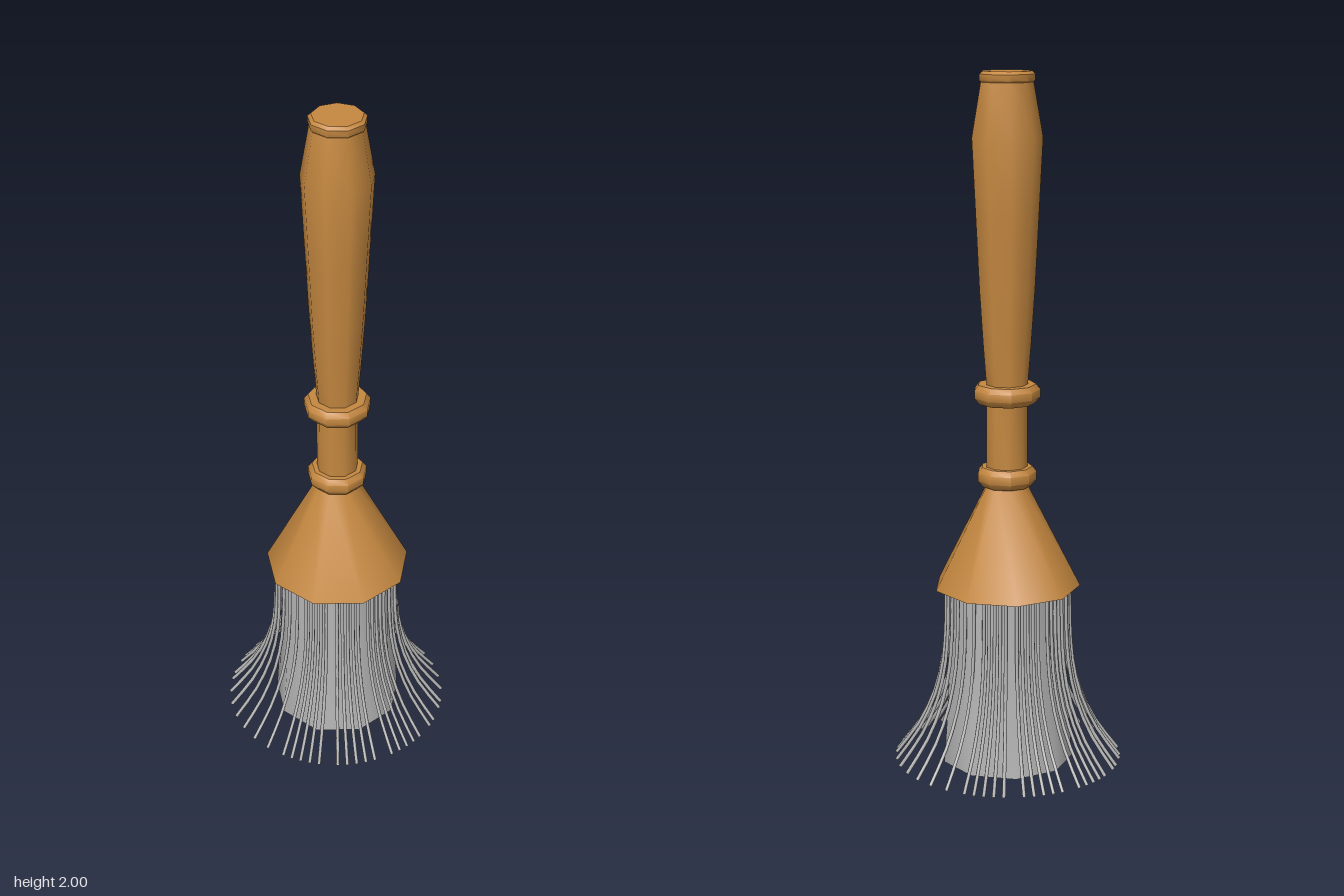
import * as THREE from 'three';
import { toCreasedNormals } from 'three/addons/utils/BufferGeometryUtils.js';

const SIDES = 9;

export function createModel() {
  const model = new THREE.Group();
  model.name = 'handBrush';
  const wood = new THREE.MeshStandardMaterial({ color: 0xc58840 });
  wood.name = 'warm wood';
  const wire = new THREE.MeshStandardMaterial({ color: 0xb6b6b6, side: THREE.DoubleSide });
  wire.name = 'grey bristle';

  // Nine-sided turned part from [radius, height] pairs, listed bottom to top
  function turned(name, material, profile) {
    const points = profile.map(([r, y]) => new THREE.Vector2(r, y));
    const lathe = new THREE.LatheGeometry(points, SIDES, -Math.PI / 2);
    const mesh = new THREE.Mesh(toCreasedNormals(lathe, 0.75), material);
    mesh.name = name;
    mesh.position.z = -0.005;
    model.add(mesh);
  }

  // Turned wooden handle
  turned('bristleHolder', wood, [[0, 0.53], [0.213, 0.53], [0.06, 0.83]]);
  turned('neck', wood, [[0.06, 0.82], [0.06, 1.1]]);
  const collar = (name, r, y0, y1) => turned(name, wood, [
    [0.055, y0], [r - 0.015, y0], [r, y0 + 0.018], [r, y1 - 0.015], [r - 0.012, y1], [0.055, y1],
  ]);
  collar('lowerCollar', 0.086, 0.828, 0.885);
  collar('upperCollar', 0.096, 1.07, 1.125);
  turned('grip', wood, [
    [0.06, 1.12], [0.07, 1.25], [0.08, 1.4], [0.09, 1.6], [0.101, 1.82], [0.075, 1.97],
  ]);
  turned('endCap', wood, [[0.07, 1.965], [0.079, 1.975], [0.079, 1.992], [0.07, 2], [0, 2]]);

  // Solid bundle inside the loose bristles
  turned('bristleCore', wire, [
    [0, 0.004], [0.192, 0.004], [0.182, 0.15], [0.174, 0.3], [0.17, 0.54],
  ]);

  // Flared outer bristles: one curve, repeated round the bundle
  const path = new THREE.CatmullRomCurve3([
    [0.18, 0.54], [0.183, 0.4], [0.192, 0.3], [0.216, 0.2], [0.262, 0.1], [0.33, 0.006],
  ].map(([r, y]) => new THREE.Vector3(r, y, 0)));
  const bristle = new THREE.TubeGeometry(path, 10, 0.0052, 6);
  const angles = [
    0, 5, 10, 20, 25, 35, 40, 50, 60, 70, 80, 90,
    100, 110, 115, 120, 125, 130, 140, 145, 150, 155, 160, 170, 175, 180,
    185, 190, 200, 205, 215, 220, 230, 240, 250, 260, 270,
    280, 290, 295, 300, 305, 310, 320, 325, 330, 335, 340, 350, 355,
  ];
  const bristles = new THREE.Group();
  bristles.name = 'outerBristles';
  for (const angle of angles) {
    const mesh = new THREE.Mesh(bristle, wire);
    mesh.name = 'bristle';
    mesh.rotation.y = THREE.MathUtils.degToRad(angle);
    bristles.add(mesh);
  }
  model.add(bristles);
  return model;
}
